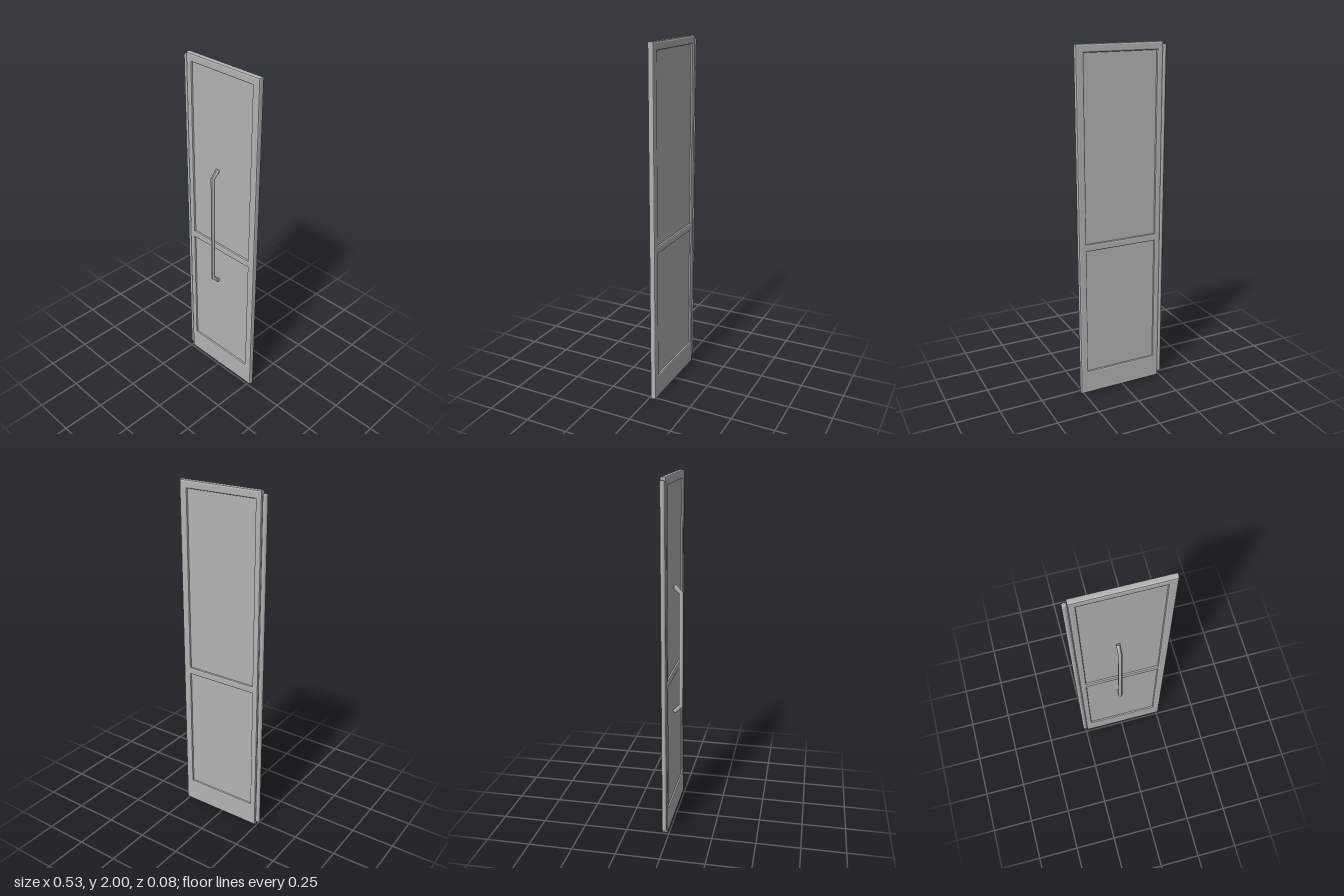
import * as THREE from 'three';

const grey = new THREE.MeshStandardMaterial({ color: 0xb4b4b4 });
grey.name = 'grey';

const MID_Z = -0.0245; // middle of the door's thickness
const DEPTH = 0.033;
const BEVEL = 0.008;

function part(name, geometry, x = 0, y = 0, z = 0) {
  const mesh = new THREE.Mesh(geometry, grey);
  mesh.name = name;
  mesh.position.set(x, y, z);
  return mesh;
}

function rectangle(target, x0, y0, x1, y1) {
  target.moveTo(x0, y0);
  target.lineTo(x1, y0);
  target.lineTo(x1, y1);
  target.lineTo(x0, y1);
  target.closePath();
  return target;
}

// Chamfered frame with an upper and a lower opening
function frameGeometry() {
  const shape = rectangle(new THREE.Shape(), -0.24, 0, 0.265, 2);
  shape.holes.push(rectangle(new THREE.Path(), -0.205, 0.14, 0.22, 0.882));
  shape.holes.push(rectangle(new THREE.Path(), -0.205, 0.924, 0.22, 1.955));
  const geometry = new THREE.ExtrudeGeometry(shape, {
    depth: DEPTH - 2 * BEVEL,
    bevelThickness: BEVEL,
    bevelSize: BEVEL,
    bevelOffset: -BEVEL,
    bevelSegments: 2,
  });
  return geometry.translate(0, 0, MID_Z - DEPTH / 2 + BEVEL);
}

// Eight-sided bar bent at both ends, with mitred corners
function handleGeometry(radius) {
  const s = Math.SQRT1_2;
  const t = Math.tan(Math.PI / 8);
  // Each ring: centre y and z, then the direction of its cross-section's depth
  const rings = [
    { y: 0.665, z: -0.012, vy: -s, vz: s },
    { y: 0.704, z: 0.027, vy: -t, vz: 1 },
    { y: 1.366, z: 0.027, vy: t, vz: 1 },
    { y: 1.405, z: -0.012, vy: s, vz: s },
  ];
  const geometry = new THREE.CylinderGeometry(1, 1, 3, 8, 3, false, Math.PI / 8);
  const p = geometry.attributes.position;
  for (let i = 0; i < p.count; i++) {
    const ring = rings[Math.round(p.getY(i) + 1.5)];
    const d = p.getZ(i) * radius;
    p.setXYZ(i, p.getX(i) * radius, ring.y + ring.vy * d, ring.z + ring.vz * d);
  }
  geometry.computeVertexNormals();
  return geometry;
}

// Slim eight-sided hinge post with chamfered ends
function postGeometry() {
  const profile = [
    [0, 0.02], [0.007, 0.02], [0.0135, 0.026],
    [0.0135, 1.978], [0.007, 1.984], [0, 1.984],
  ].map(([r, y]) => new THREE.Vector2(r, y));
  return new THREE.LatheGeometry(profile, 8, Math.PI / 8);
}

export function createModel() {
  const door = new THREE.Group();
  door.name = 'door';
  door.add(part('frame', frameGeometry()));

  // Thin panels set into the openings
  for (const [name, y0, y1] of [['lowerPanel', 0.13, 0.892], ['upperPanel', 0.914, 1.965]]) {
    const panel = new THREE.BoxGeometry(0.445, y1 - y0, 0.012);
    door.add(part(name, panel, 0.0075, (y0 + y1) / 2, MID_Z));
  }

  door.add(part('hingePost', postGeometry(), -0.2525, 0, MID_Z));
  door.add(part('handle', handleGeometry(0.012), -0.0145));
  return door;
}
